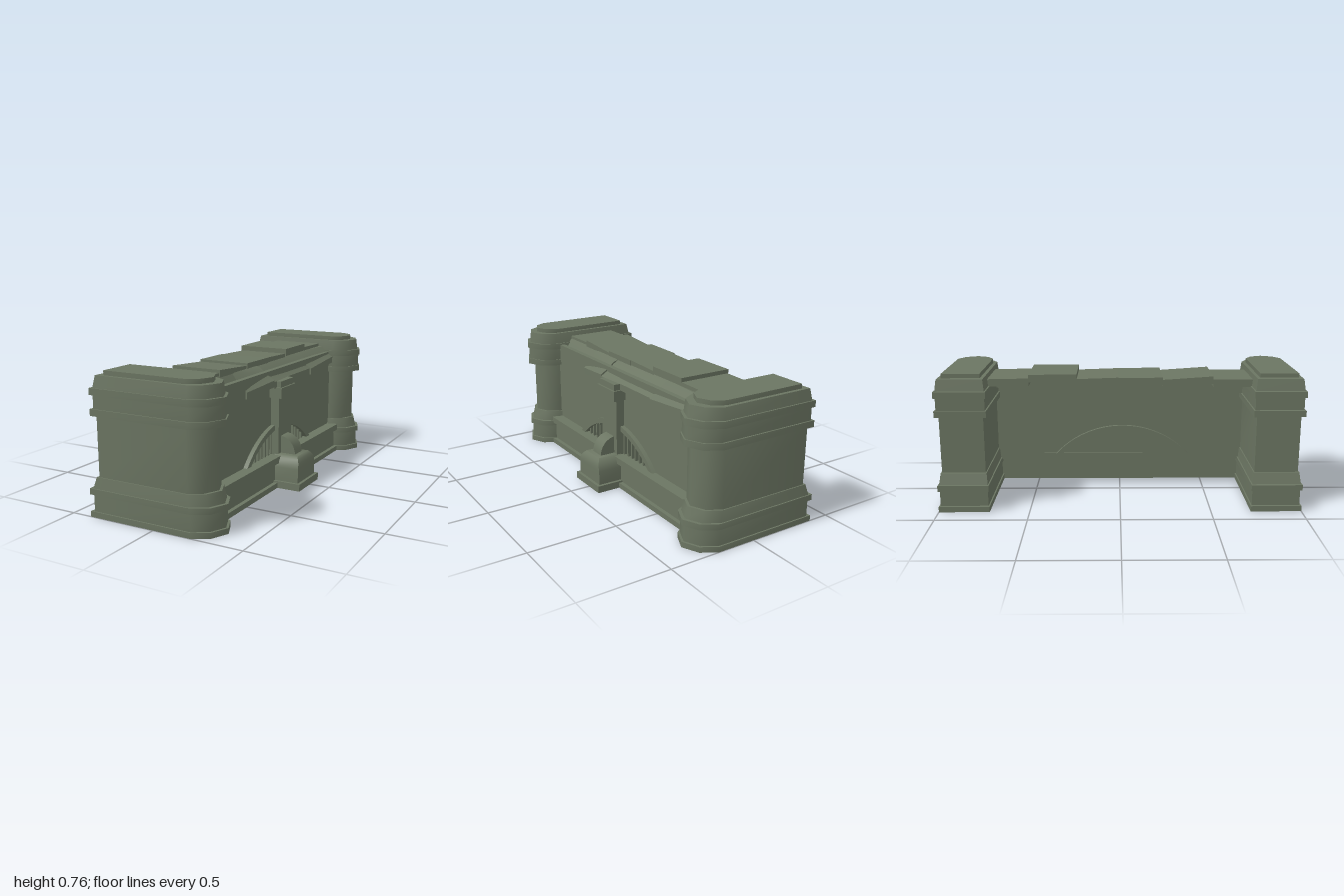
import * as THREE from 'three';
import { toCreasedNormals } from 'three/addons/utils/BufferGeometryUtils.js';

const stone = new THREE.MeshStandardMaterial({ color: 0x6b7562, side: THREE.DoubleSide });
stone.name = 'mossy stone';

// Skin a list of equal-length closed rings; optional fan caps at each end
function loft(rings, capStart, capEnd, crease = 0.95) {
  const n = rings[0].length, pos = rings.flat(2), idx = [];
  for (let i = 0; i < rings.length - 1; i++) {
    for (let j = 0; j < n; j++) {
      const k = (j + 1) % n, a = i * n + j, b = i * n + k, c = a + n, d = b + n;
      idx.push(a, b, d, a, d, c);
    }
  }
  const last = (rings.length - 1) * n;
  for (let j = 1; j < n - 1; j++) {
    if (capStart) idx.push(0, j + 1, j);
    if (capEnd) idx.push(last, last + j, last + j + 1);
  }
  const g = new THREE.BufferGeometry();
  g.setAttribute('position', new THREE.Float32BufferAttribute(pos, 3));
  g.setIndex(idx);
  return toCreasedNormals(g, crease);
}

export function createModel() {
  const model = new THREE.Group();
  const add = (name, geo, parent = model) => {
    const m = new THREE.Mesh(geo, stone);
    m.name = name;
    parent.add(m);
    return m;
  };
  // Box given by its limits
  const box = (name, x0, x1, y0, y1, z0, z1) => {
    const m = add(name, new THREE.BoxGeometry(x1 - x0, y1 - y0, z1 - z0));
    m.position.set((x0 + x1) / 2, (y0 + y1) / 2, (z0 + z1) / 2);
    return m;
  };
  // Shape drawn in (-z, y), extruded from x0 to x1
  const extrudeX = (name, shape, x0, x1) => {
    const g = new THREE.ExtrudeGeometry(shape, { depth: x1 - x0, bevelEnabled: false, curveSegments: 20 });
    g.rotateY(Math.PI / 2).translate(x0, 0, 0);
    return add(name, toCreasedNormals(g, 0.5));
  };

  // End piers: moulded profile of [y, back x, nose x, half width], hollow at the foot
  const pierProfile = [
    [0.12, -0.35, 0.305, 0.115], [0, -0.35, 0.305, 0.115],
    [0, -0.385, 0.343, 0.14], [0.03, -0.385, 0.343, 0.14],
    [0.03, -0.365, 0.33, 0.132], [0.12, -0.365, 0.33, 0.132],
    [0.12, -0.385, 0.343, 0.14], [0.152, -0.385, 0.343, 0.14],
    [0.152, -0.367, 0.325, 0.133], [0.213, -0.347, 0.31, 0.126],
    [0.213, -0.335, 0.295, 0.12], [0.53, -0.335, 0.295, 0.12],
    [0.53, -0.36, 0.338, 0.14], [0.565, -0.36, 0.338, 0.14],
    [0.565, -0.343, 0.33, 0.132], [0.635, -0.343, 0.33, 0.132],
    [0.635, -0.36, 0.338, 0.14], [0.67, -0.36, 0.338, 0.14],
    [0.67, -0.343, 0.322, 0.132], [0.733, -0.33, 0.313, 0.124],
    [0.733, -0.293, 0.27, 0.104], [0.757, -0.293, 0.27, 0.104],
  ];
  const pierGeo = loft(pierProfile.map(([y, x0, x1, w]) => [
    [x0, y, w], [x1 - 0.9 * w, y, w], [x1 - 0.3 * w, y, 0.65 * w], [x1, y, 0],
    [x1 - 0.3 * w, y, -0.65 * w], [x1 - 0.9 * w, y, -w], [x0, y, -w],
  ]), false, true);
  for (const s of [-1, 1]) add(s > 0 ? 'frontPier' : 'backPier', pierGeo).position.z = 0.86 * s;

  // Wall with a segmental arched niche
  const cu = -0.015, R = 0.545, cy = -0.19, foot = 0.18;
  const segment = (path, r) => {
    const a = Math.asin((foot - cy) / r);
    path.moveTo(cu + r * Math.cos(a), foot + 0.001);
    path.absarc(cu, cy, r, a, Math.PI - a, false);
    path.closePath();
    return path;
  };
  const wall = new THREE.Shape();
  wall.moveTo(-0.745, 0.175).lineTo(0.745, 0.175).lineTo(0.745, 0.66).lineTo(-0.745, 0.66).closePath();
  wall.holes.push(segment(new THREE.Path(), R - 0.03));
  extrudeX('wall', wall, 0.145, 0.175);
  extrudeX('nichePanel', segment(new THREE.Shape(), R - 0.028), 0.14, 0.147);

  // Arch band
  const band = new THREE.Shape(), r2 = R - 0.03;
  const a1 = Math.asin((foot - cy) / R), a2 = Math.asin((foot - cy) / r2);
  band.absarc(cu, cy, R, a1, Math.PI - a1, false);
  band.absarc(cu, cy, r2, Math.PI - a2, a2, true);
  band.closePath();
  extrudeX('archBand', band, 0.125, 0.2);

  // Grille bars beneath the arch
  for (let i = -8; i <= 8; i++) {
    const u = i * 0.04, top = cy + Math.sqrt(r2 * r2 - u * u);
    if (top > foot + 0.01) box('grilleBar', 0.165, 0.183, foot, top + 0.005, -cu - u - 0.006, -cu - u + 0.006);
  }

  // Low kerb between the piers
  box('kerbFoot', 0.185, 0.245, 0, 0.03, -0.74, 0.74);
  box('kerbFace', 0.185, 0.222, 0.03, 0.14, -0.74, 0.74);
  box('kerbLedge', 0.14, 0.243, 0.14, 0.178, -0.74, 0.74);

  // Uneven roof slabs: z start, z end, top at start, top at end, back x, front x
  const slabs = [
    [-0.74, -0.505, 0.708, 0.712, -0.2, 0.1], [-0.505, -0.24, 0.734, 0.734, -0.205, 0.102],
    [-0.24, -0.01, 0.706, 0.714, -0.19, 0.097], [-0.01, 0.235, 0.714, 0.716, -0.202, 0.1],
    [0.235, 0.515, 0.703, 0.722, -0.2, 0.096], [0.515, 0.74, 0.706, 0.706, -0.206, 0.09],
  ];
  for (const [z0, z1, t0, t1, x0, x1] of slabs) {
    const ring = (z, t) => [[x0, t - 0.042, z], [x1, t - 0.042, z], [x1, t, z], [x0, t, z]];
    add('roofSlab', loft([ring(z0, t0), ring(z1, t1)], true, true));
  }

  // Concave roof skirt with a broken eave: z, eave x, eave height
  const eaves = [
    [[-0.74, 0.2, 0.63], [-0.37, 0.21, 0.605]],
    [[-0.37, 0.2, 0.605], [-0.1, 0.2, 0.605], [0.13, 0.215, 0.605]],
    [[0.13, 0.215, 0.615], [0.25, 0.205, 0.605], [0.39, 0.185, 0.59]],
    [[0.39, 0.17, 0.593], [0.74, 0.165, 0.593]],
  ];
  for (const run of eaves) {
    add('roofSkirt', loft(run.map(([z, x, y]) => [
      [0.09, y - 0.03, z], [x, y - 0.038, z], [x, y, z],
      [0.1 + (x - 0.1) * 0.6, y + 0.028, z], [0.1 + (x - 0.1) * 0.25, y + 0.062, z], [0.09, 0.69, z],
    ]), true, true, 0.6));
  }

  // Central pilaster and its capital
  box('pilaster', 0.17, 0.225, 0.17, 0.53, -0.055, 0.095);
  box('capital', 0.17, 0.25, 0.51, 0.57, -0.072, 0.112);
  box('capitalTop', 0.18, 0.24, 0.57, 0.605, -0.06, 0.1);

  // Pedestal in front: plinth, domed body and rounded block
  box('pedestalPlinth', 0.2, 0.382, 0, 0.04, -0.11, 0.147);
  const body = [[0.04, 0.365, 0.112], [0.12, 0.365, 0.112], [0.15, 0.364, 0.104], [0.17, 0.354, 0.09], [0.185, 0.342, 0.072]];
  add('pedestalBody', loft(body.map(([y, x, w]) => [
    [0.2, y, 0.02 + w], [x, y, 0.02 + w], [x, y, 0.02 - w], [0.2, y, 0.02 - w],
  ]), true, true));
  const blockRing = (z) => [[0.2, 0.18, z], [0.315, 0.18, z], [0.312, 0.205, z], [0.302, 0.235, z],
    [0.282, 0.26, z], [0.255, 0.278, z], [0.225, 0.285, z], [0.2, 0.285, z]];
  add('pedestalBlock', loft([blockRing(-0.025), blockRing(0.065)], true, true));

  return model;
}
